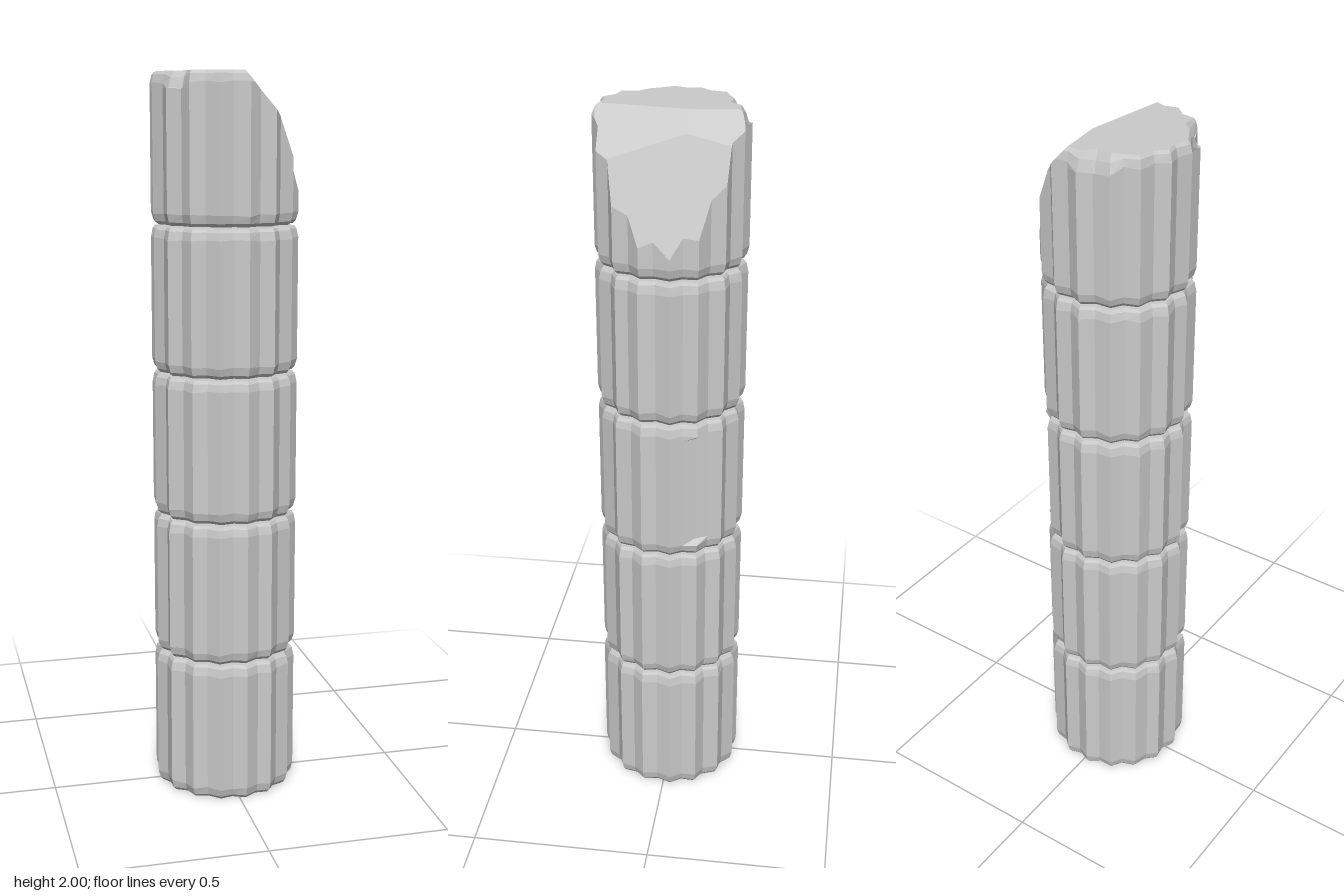
import * as THREE from 'three';

const FLUTES = 16, N = FLUTES * 2, DRUM_H = 0.4, GAP = 0.003;
const material = new THREE.MeshStandardMaterial({ color: 0xcccccc, flatShading: true });

// Small seeded generator for the hand-carved wobble, in -1..1
function seeded(seed) {
  let s = seed;
  return () => ((s = (s * 16807) % 2147483647) / 2147483647) * 2 - 1;
}

// Fluted outline: ridges and valleys alternate around the shaft
function flutedOutline(rand, turn) {
  return Array.from({ length: N }, (_, k) => ({
    angle: THREE.MathUtils.degToRad(-5.5 + k * 360 / N) + turn + rand() * 0.015,
    radius: (k % 2 ? 0.185 : 0.201) + rand() * 0.0015,
  }));
}

// Triangles of one drum: stacked rings with rounded rims, closed by fans.
// chips: rim points whose upper edge is worn down; flat: a ridge broken off flush
function drumTriangles(seed, y0, y1, turn, chips = {}, flat = -1) {
  const rand = seeded(seed);
  const outline = flutedOutline(rand, turn);
  const h = y1 - y0;
  const profile = [
    [0, 0.93], [0.009, 0.97], [0.03, 1], [0.045, 1],
    [h - 0.045, 1], [h - 0.03, 1], [h - 0.008, 0.975], [h, 0.945],
  ];
  const rings = profile.map(([y, s], j) => outline.map(({ angle, radius }, k) => {
    const wear = j > 4 ? chips[k] || 0 : 0;
    let r = radius * s * (1 - wear * (j - 4) * 0.06);
    if (k === flat && j > 2 && j < 5) r = 0.181;
    const drop = wear * (7 - j) * 0.02;
    const wobble = j > 1 && j < 6 ? rand() * 0.003 : 0;
    return new THREE.Vector3(Math.cos(angle) * r, y0 + y - drop + wobble, Math.sin(angle) * r);
  }));
  const tris = [];
  for (let j = 0; j < rings.length - 1; j++) {
    for (let k = 0; k < N; k++) {
      const n = (k + 1) % N, lo = rings[j], hi = rings[j + 1];
      tris.push([lo[k], hi[k], lo[n]], [lo[n], hi[k], hi[n]]);
    }
  }
  const bottom = new THREE.Vector3(0, y0, 0), top = new THREE.Vector3(0, y1, 0);
  const first = rings[0], last = rings[rings.length - 1];
  for (let k = 0; k < N; k++) {
    const n = (k + 1) % N;
    tris.push([bottom, first[k], first[n]], [top, last[n], last[k]]);
  }
  return tris;
}

// Break stone away in front of a plane and close the fracture with a fan
function breakOff(tris, point, normal) {
  const nrm = new THREE.Vector3(...normal).normalize();
  const plane = new THREE.Plane().setFromNormalAndCoplanarPoint(nrm, new THREE.Vector3(...point));
  const kept = [], edges = [];
  for (const tri of tris) {
    const poly = [], cut = [];
    tri.forEach((a, i) => {
      const b = tri[(i + 1) % 3];
      const da = plane.distanceToPoint(a), db = plane.distanceToPoint(b);
      if (da <= 0) poly.push(a);
      if ((da <= 0) !== (db <= 0)) {
        const p = a.clone().lerp(b, da / (da - db));
        poly.push(p);
        cut.push(p);
      }
    });
    for (let i = 1; i < poly.length - 1; i++) kept.push([poly[0], poly[i], poly[i + 1]]);
    if (cut.length === 2) edges.push(cut);
  }
  const centre = new THREE.Vector3();
  edges.forEach(([a, b]) => centre.add(a).add(b));
  centre.divideScalar(Math.max(1, edges.length * 2));
  for (const [a, b] of edges) {
    const facing = a.clone().sub(centre).cross(b.clone().sub(centre)).dot(nrm);
    kept.push(facing > 0 ? [centre, a, b] : [centre, b, a]);
  }
  return kept;
}

function toMesh(tris, name) {
  const geometry = new THREE.BufferGeometry().setFromPoints(tris.flat());
  geometry.computeVertexNormals();
  const mesh = new THREE.Mesh(geometry, material);
  mesh.name = name;
  return mesh;
}

export function createModel() {
  const column = new THREE.Group();
  column.name = 'brokenColumn';

  // Whole drums, one with a ridge broken off
  for (let i = 0; i < 4; i++) {
    const y0 = i === 0 ? 0 : i * DRUM_H + GAP;
    const turn = i === 1 ? Math.PI : 0;
    const tris = drumTriangles(101 + i * 37, y0, (i + 1) * DRUM_H - GAP, turn, {}, i === 2 ? 30 : -1);
    column.add(toMesh(tris, `drum${i + 1}`));
  }

  // Top drum: worn rim at the back and front left, corner broken away on +x
  let top = drumTriangles(307, 4 * DRUM_H + GAP, 2, 0, { 13: 0.4, 14: 0.5, 22: 0.6, 23: 0.8, 24: 0.5 });
  top = breakOff(top, [0.066, 2, 0], [0.93, 0.37, -0.02]);
  top = breakOff(top, [0.085, 1.95, -0.05], [0.75, 0.66, 0.1]);
  top = breakOff(top, [0.085, 1.95, -0.05], [0.75, 0.66, -0.1]);
  top = breakOff(top, [0.045, 2, 0.16], [0.66, 0.52, 0.75]);
  column.add(toMesh(top, 'brokenTopDrum'));

  return column;
}
